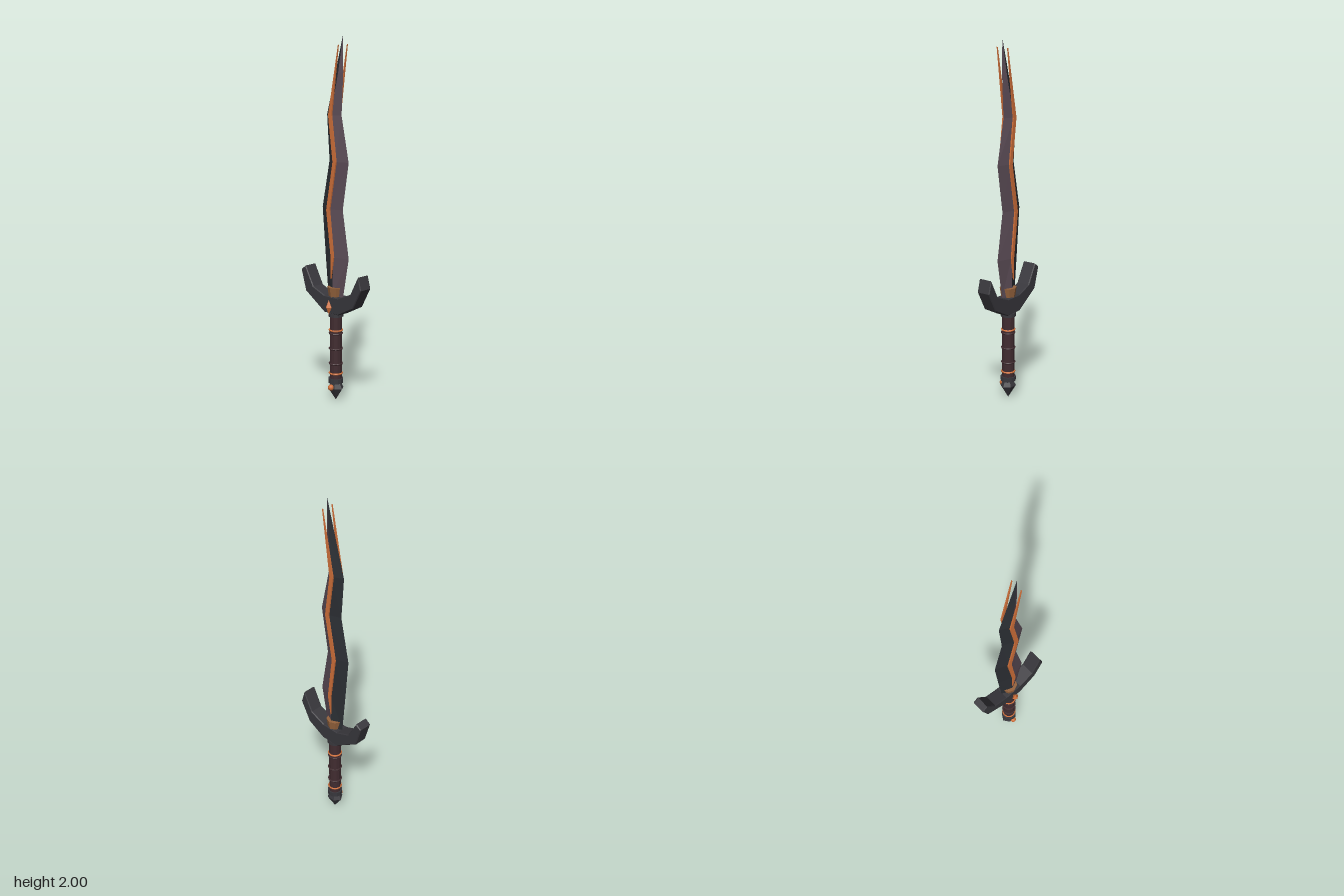
import * as THREE from 'three';

const mat = (color) => new THREE.MeshStandardMaterial({ color, flatShading: true });
const IRON = mat(0x38373c), DARK = mat(0x2b2e33), PURPLE = mat(0x5a4b55);
const LEATHER = mat(0x412c30), ORANGE = mat(0xd0703a), BRONZE = mat(0x94623c);
const AXIS = 0.003;

// Wavy blade stations: height, left edge, ridge, right edge, half thickness
const STATIONS = [
  [0.54, -0.05, 0.0, 0.045, 0.028],
  [0.6, -0.055, 0.002, 0.06, 0.028],
  [0.81, -0.075, 0.012, 0.1, 0.028],
  [1.07, -0.098, -0.022, 0.055, 0.028],
  [1.33, -0.045, 0.026, 0.098, 0.028],
  [1.575, -0.063, -0.008, 0.045, 0.027],
  [1.8, 0.0, 0.033, 0.057, 0.014],
  [1.995, 0.055, 0.055, 0.055, 0],
];

export function createModel() {
  const root = new THREE.Group();
  const sword = new THREE.Group();
  sword.name = 'sword';
  sword.position.z = -0.014;
  root.add(sword);

  const add = (name, geometry, material, x = 0, y = 0, z = 0) => {
    const mesh = new THREE.Mesh(geometry, material);
    mesh.name = name;
    mesh.position.set(x, y, z);
    sword.add(mesh);
    return mesh;
  };
  const extrude = (points, options) =>
    new THREE.ExtrudeGeometry(new THREE.Shape(points.map(([x, y]) => new THREE.Vector2(x, y))), options);
  const drum = (name, material, y0, y1, r0, r1 = r0, sides = 12) =>
    add(name, new THREE.CylinderGeometry(r1, r0, y1 - y0, sides), material, AXIS, (y0 + y1) / 2);

  // Half of the blade: front and back bevels meeting at one cutting edge
  const bladeHalf = (side) => {
    const positions = [], index = [];
    STATIONS.forEach(([y, left, ridge, right, t], i) => {
      positions.push(ridge, y, t, side < 0 ? left : right, y, 0, ridge, y, -t);
      if (i === 0) return;
      for (let k = 0; k < 2; k++) {
        const a = 3 * (i - 1) + k, b = a + 1, c = a + 4, d = a + 3;
        if (side > 0) index.push(a, b, c, a, c, d);
        else index.push(a, c, b, a, d, c);
      }
    });
    const g = new THREE.BufferGeometry();
    g.setAttribute('position', new THREE.Float32BufferAttribute(positions, 3));
    g.setIndex(index);
    g.computeVertexNormals();
    return g;
  };
  add('bladeLeftHalf', bladeHalf(1), PURPLE);
  add('bladeRightHalf', bladeHalf(-1), DARK);

  // Thin inlay strips that float over the ridge on both faces
  const strip = [[0.0, 0.69, 0], [0.01, 0.81, 0.01], [-0.022, 1.065, 0.012],
    [0.026, 1.33, 0.012], [-0.007, 1.575, 0.012], [0.054, 1.945, 0]];
  const outline = [
    ...strip.map(([x, y, w]) => [x + w, y]),
    ...strip.slice(1, -1).reverse().map(([x, y, w]) => [x - w, y]),
  ];
  for (const [name, z] of [['frontInlay', 0.029], ['backInlay', -0.037]]) {
    add(name, extrude(outline, { depth: 0.008, bevelEnabled: false }), ORANGE, 0, 0, z);
  }

  // Crossguard with upswept, uneven arms
  const guard = [[-0.05, 0.498], [0.057, 0.498], [0.167, 0.555], [0.227, 0.665], [0.205, 0.735],
    [0.147, 0.63], [0.055, 0.592], [-0.05, 0.592], [-0.135, 0.625], [-0.195, 0.732],
    [-0.229, 0.708], [-0.193, 0.59]];
  add('crossguard', extrude(guard, {
    depth: 0.068, bevelThickness: 0.005, bevelSize: 0.004, bevelOffset: -0.004, bevelSegments: 1,
  }), IRON, 0, 0, -0.034);

  // Collar at the blade root and the gem on the guard
  drum('bladeCollar', BRONZE, 0.565, 0.643, 0.034, 0.047, 8);
  add('guardGem', new THREE.OctahedronGeometry(1), ORANGE, AXIS, 0.537, 0.054).scale.set(0.021, 0.04, 0.019);

  // Grip with its end collars and wrapped rings
  drum('grip', LEATHER, 0.11, 0.5, 0.034);
  drum('upperGripCollar', IRON, 0.478, 0.5, 0.042);
  drum('lowerGripCollar', IRON, 0.1, 0.126, 0.042);
  const ring = (name, material, y, tube) =>
    add(name, new THREE.TorusGeometry(0.035, tube, 6, 16).rotateX(Math.PI / 2), material, AXIS, y);
  for (const y of [0.155, 0.4]) ring('gripBand', ORANGE, y, 0.005);
  for (const y of [0.21, 0.295, 0.382]) ring('gripWrap', LEATHER, y, 0.005);

  // Pointed pommel with a round stud
  const profile = [[0, 0], [0.048, 0.07], [0.03, 0.102], [0, 0.102]].map(([r, y]) => new THREE.Vector2(r, y));
  add('pommel', new THREE.LatheGeometry(profile, 6, Math.PI / 6), IRON, AXIS).scale.z = 0.85;
  const stud = add('pommelStud', new THREE.SphereGeometry(0.017, 12, 8), ORANGE, AXIS, 0.077, 0.038);
  stud.material = new THREE.MeshStandardMaterial({ color: 0xd0703a });

  return root;
}
